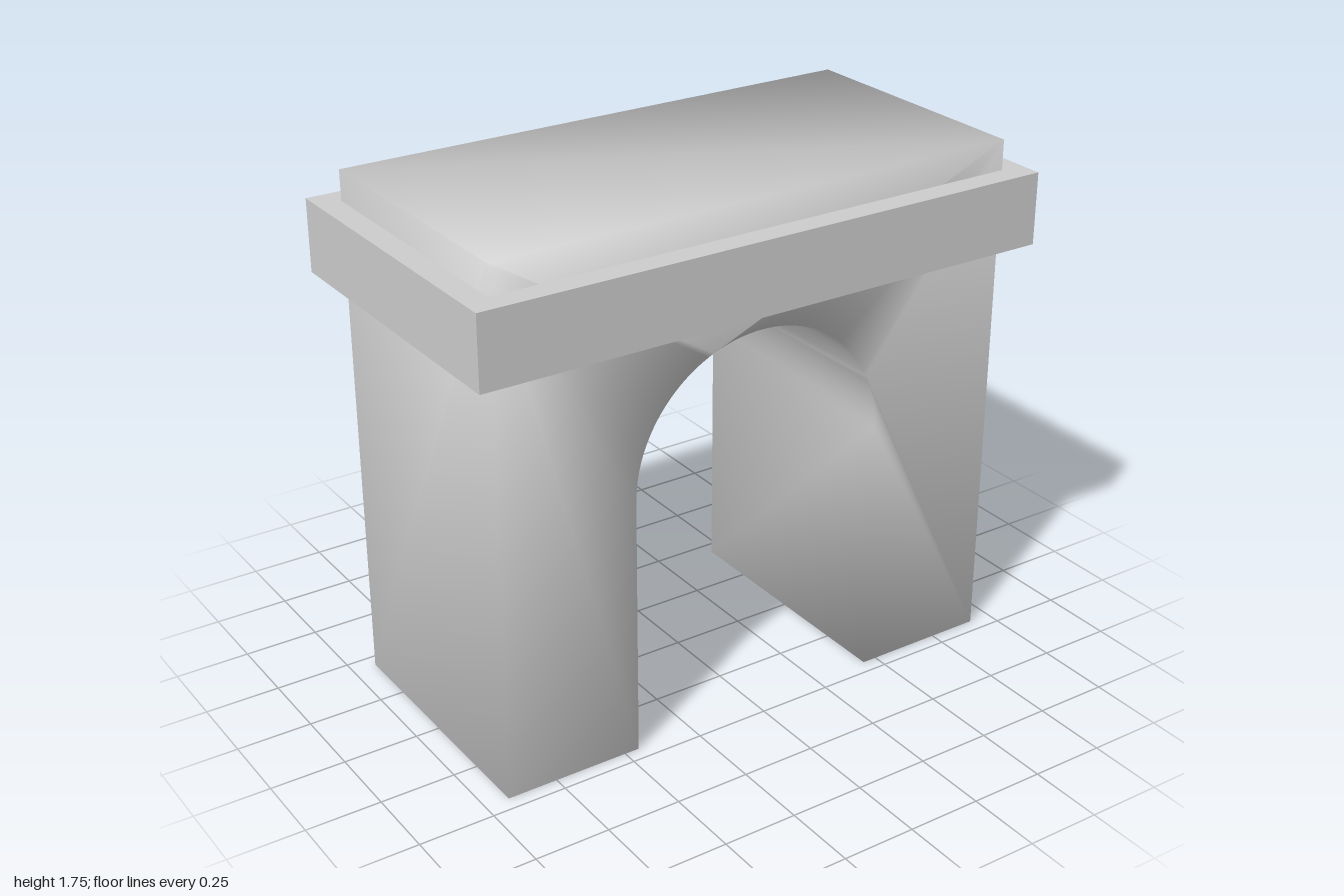
import * as THREE from 'three';
import { mergeVertices } from 'three/addons/utils/BufferGeometryUtils.js';

const material = new THREE.MeshStandardMaterial({ color: 0xcccccc });

// Weld shared corners so that shading blends across the edges
function softened(geometry) {
  geometry.deleteAttribute('normal');
  geometry.deleteAttribute('uv');
  const welded = mergeVertices(geometry, 1e-4);
  welded.computeVertexNormals();
  return welded;
}

export function createModel() {
  const group = new THREE.Group();
  group.name = 'archway';

  // Two piers joined by a round arch, rising through the cornice
  const halfWidth = 0.92, height = 1.75, depth = 0.9;
  const opening = 0.45, spring = 0.88;
  const outline = new THREE.Shape();
  outline.moveTo(halfWidth, 0);
  outline.lineTo(halfWidth, height);
  outline.lineTo(-halfWidth, height);
  outline.lineTo(-halfWidth, 0);
  outline.lineTo(-opening, 0);
  outline.lineTo(-opening, spring);
  outline.absarc(0, spring, opening, Math.PI, 0, true);
  outline.lineTo(opening, 0);
  outline.closePath();
  const archGeometry = new THREE.ExtrudeGeometry(outline, {
    depth, bevelEnabled: false, curveSegments: 32,
  });
  archGeometry.translate(0, 0, -depth / 2);
  const arch = new THREE.Mesh(softened(archGeometry), material);
  arch.name = 'archBody';
  group.add(arch);

  // Overhanging band around the top
  const cornice = new THREE.Mesh(new THREE.BoxGeometry(2, 0.24, 1.06), material);
  cornice.position.y = 1.53;
  cornice.name = 'cornice';
  group.add(cornice);

  return group;
}
